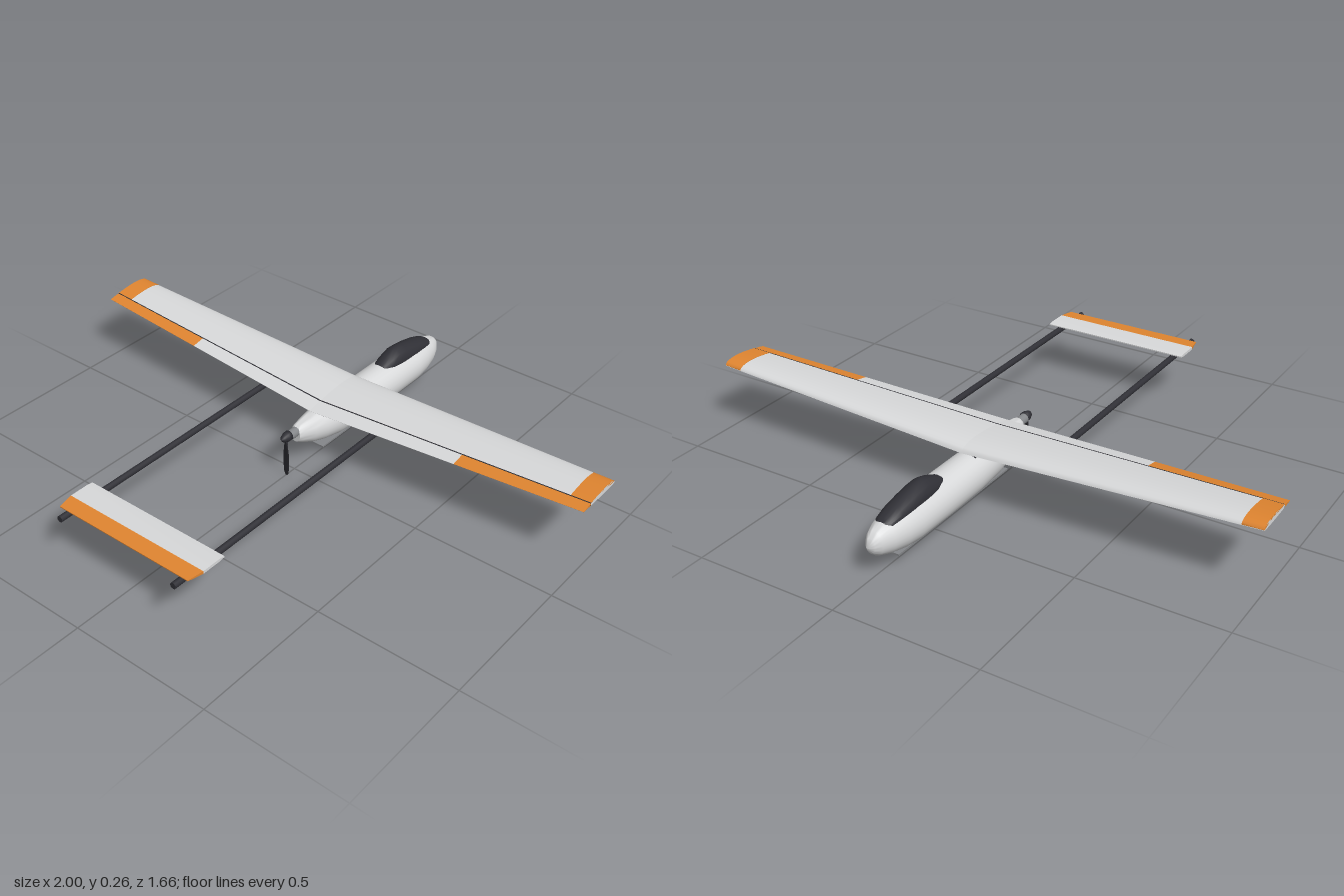
import * as THREE from 'three';
import { toCreasedNormals } from 'three/addons/utils/BufferGeometryUtils.js';

const material = (name, color) => {
  const m = new THREE.MeshStandardMaterial({ color });
  m.name = name;
  return m;
};

// Closed, capped skin through rings of [x, y, z] points, always facing outward
function loft(rings, crease = 0.6) {
  const n = rings[0].length;
  const p = rings.flat();
  const faces = [];
  for (let r = 0; r < rings.length - 1; r++) {
    for (let i = 0; i < n; i++) {
      const a = r * n + i, b = r * n + (i + 1) % n;
      faces.push([a, b, a + n], [b, b + n, a + n]);
    }
  }
  const last = (rings.length - 1) * n;
  for (const [start, flip] of [[0, true], [last, false]]) {
    const mid = [0, 1, 2].map(k => p.slice(start, start + n).reduce((s, q) => s + q[k], 0) / n);
    const c = p.push(mid) - 1;
    for (let i = 0; i < n; i++) {
      const a = start + i, b = start + (i + 1) % n;
      faces.push(flip ? [b, a, c] : [a, b, c]);
    }
  }
  let volume = 0;
  for (const f of faces) {
    const [a, b, c] = f.map(i => new THREE.Vector3(...p[i]));
    volume += a.dot(b.cross(c));
  }
  const g = new THREE.BufferGeometry();
  g.setAttribute('position', new THREE.Float32BufferAttribute(p.flat(), 3));
  g.setIndex(faces.flatMap(([a, b, c]) => (volume < 0 ? [a, c, b] : [a, b, c])));
  return toCreasedNormals(g, crease);
}

// Elliptical cross-section in the xy plane
const ellipse = (z, cy, hw, hh, n = 28) => Array.from({ length: n }, (_, i) => {
  const a = i / n * Math.PI * 2;
  return [hw * Math.cos(a), cy + hh * Math.sin(a), z];
});

const mix = THREE.MathUtils.lerp;
const foil = t => 2 * (1.4845 * Math.sqrt(t) - 0.63 * t - 1.758 * t * t + 1.4215 * t ** 3 - 0.5075 * t ** 4);

// Point on the wing: span x, chord fraction t, upper or lower skin
function wingPoint(x, t, upper, grow) {
  const u = Math.abs(x);
  const thick = mix(0.024, 0.018, u) * foil(t);
  const y = mix(0.195, 0.237, u) + (upper ? thick + grow : -0.2 * thick - grow);
  return [x, y, mix(-0.345, -0.325, u) + t * mix(0.265, 0.19, u)];
}

// Spanwise slice of the wing between two chord fractions
function wingPanel(x0, x1, t0, t1, grow = 0, skinOnly = false) {
  const steps = 12;
  const ring = x => {
    const top = [], bottom = [];
    for (let i = 0; i <= steps; i++) {
      const t = t0 + (t1 - t0) * (i / steps) ** 1.6;
      const q = wingPoint(x, t, true, grow);
      top.push(q);
      bottom.unshift(skinOnly ? [q[0], q[1] - 0.002, q[2]] : wingPoint(x, t, false, grow));
    }
    return [...top, ...bottom];
  };
  return loft([ring(x0), ring(x1)]);
}

export function createModel() {
  const model = new THREE.Group();
  const white = material('light grey', 0xd8d9da);
  const orange = material('orange', 0xe08530);
  const dark = material('charcoal', 0x303036);
  const grey = material('mid grey', 0x85878a);
  const add = (name, geometry, mat, x = 0, y = 0, z = 0) => {
    const mesh = new THREE.Mesh(geometry, mat);
    mesh.name = name;
    mesh.position.set(x, y, z);
    model.add(mesh);
    return mesh;
  };

  // Pod fuselage: z, centre height, half width, half height
  add('fuselage', loft([
    [-0.828, 0.112, 0.004, 0.006], [-0.815, 0.112, 0.018, 0.026], [-0.795, 0.111, 0.032, 0.042],
    [-0.755, 0.110, 0.049, 0.055], [-0.7, 0.109, 0.062, 0.066], [-0.64, 0.108, 0.069, 0.071],
    [-0.5, 0.108, 0.07, 0.072], [-0.32, 0.109, 0.068, 0.072], [-0.2, 0.114, 0.063, 0.068],
    [-0.12, 0.121, 0.052, 0.06], [-0.07, 0.128, 0.041, 0.051], [-0.02, 0.138, 0.027, 0.036],
    [-0.005, 0.14, 0.02, 0.028],
  ].map(s => ellipse(...s)), 0.9), white);

  // Canopy hatch
  add('canopy', loft([
    [-0.765, 0.152, 0.018, 0.008], [-0.745, 0.155, 0.032, 0.018], [-0.7, 0.16, 0.039, 0.028],
    [-0.65, 0.163, 0.042, 0.037], [-0.6, 0.165, 0.042, 0.045], [-0.56, 0.165, 0.041, 0.049],
    [-0.52, 0.165, 0.038, 0.037], [-0.475, 0.165, 0.028, 0.017],
  ].map(s => ellipse(...s, 16))), dark);

  // Belly skid and wing saddle
  add('bellySkid', new THREE.BoxGeometry(0.055, 0.006, 0.6), grey, 0, 0.036, -0.42);
  add('wingSaddle', new THREE.BoxGeometry(0.064, 0.036, 0.2), dark, 0, 0.18, -0.215);

  // Wing halves, booms and their mounts
  for (const s of [-1, 1]) {
    const side = s > 0 ? 'left' : 'right';
    add(side + 'Wing', wingPanel(0, s, 0, 0.78), white);
    add(side + 'Flap', wingPanel(0, s * 0.555, 0.78, 1), white);
    add(side + 'Aileron', wingPanel(s * 0.555, s, 0.78, 1), orange);
    add(side + 'HingeLine', wingPanel(0, s, 0.772, 0.788, 0.0006), dark);
    add(side + 'TipPanel', wingPanel(s * 0.932, s, 0.002, 0.772, 0.0008, true), orange);

    const boom = add(side + 'Boom', new THREE.CylinderGeometry(0.011, 0.011, 1.115, 12), dark, s * 0.235, 0.18, 0.2725);
    boom.rotation.x = Math.PI / 2;
    add(side + 'BoomMount', new THREE.BoxGeometry(0.014, 0.02, 0.16), dark, s * 0.235, 0.194, -0.2);
  }

  // Tailplane with tapered elevator
  const slab = (z, hw, h) => [[-hw, 0.195 - h, z], [hw, 0.195 - h, z], [hw, 0.195 + h, z], [-hw, 0.195 + h, z]];
  add('tailplane', loft([slab(0.655, 0.275, 0.002), slab(0.675, 0.275, 0.005), slab(0.745, 0.275, 0.005)]), white);
  add('elevator', loft([slab(0.745, 0.275, 0.005), slab(0.8, 0.265, 0.0015)]), orange);

  // Pusher motor, spinner and hanging blade
  const motor = add('motor', new THREE.CylinderGeometry(0.017, 0.017, 0.045, 20), grey, 0, 0.152, 0.01);
  motor.rotation.x = Math.PI / 2;
  const spinner = add('spinner', new THREE.LatheGeometry(
    [[0, 0], [0.018, 0], [0.017, 0.015], [0.011, 0.032], [0, 0.042]].map(q => new THREE.Vector2(...q)), 20), dark, 0, 0.155, 0.028);
  spinner.rotation.x = Math.PI / 2;

  const bladeRing = (y, chord, thick, twist) => Array.from({ length: 12 }, (_, i) => {
    const a = i / 12 * Math.PI * 2;
    const u = chord * Math.cos(a), v = thick * Math.sin(a);
    return [u * Math.cos(twist) - v * Math.sin(twist), y, 0.043 + u * Math.sin(twist) + v * Math.cos(twist)];
  });
  add('propellerBlade', loft([
    [0.155, 0.01, 0.007, 0.9], [0.125, 0.019, 0.004, 0.65], [0.085, 0.02, 0.003, 0.4],
    [0.04, 0.016, 0.002, 0.25], [0.01, 0.011, 0.0015, 0.18], [0, 0.005, 0.001, 0.15],
  ].map(r => bladeRing(...r))), dark);

  return model;
}
